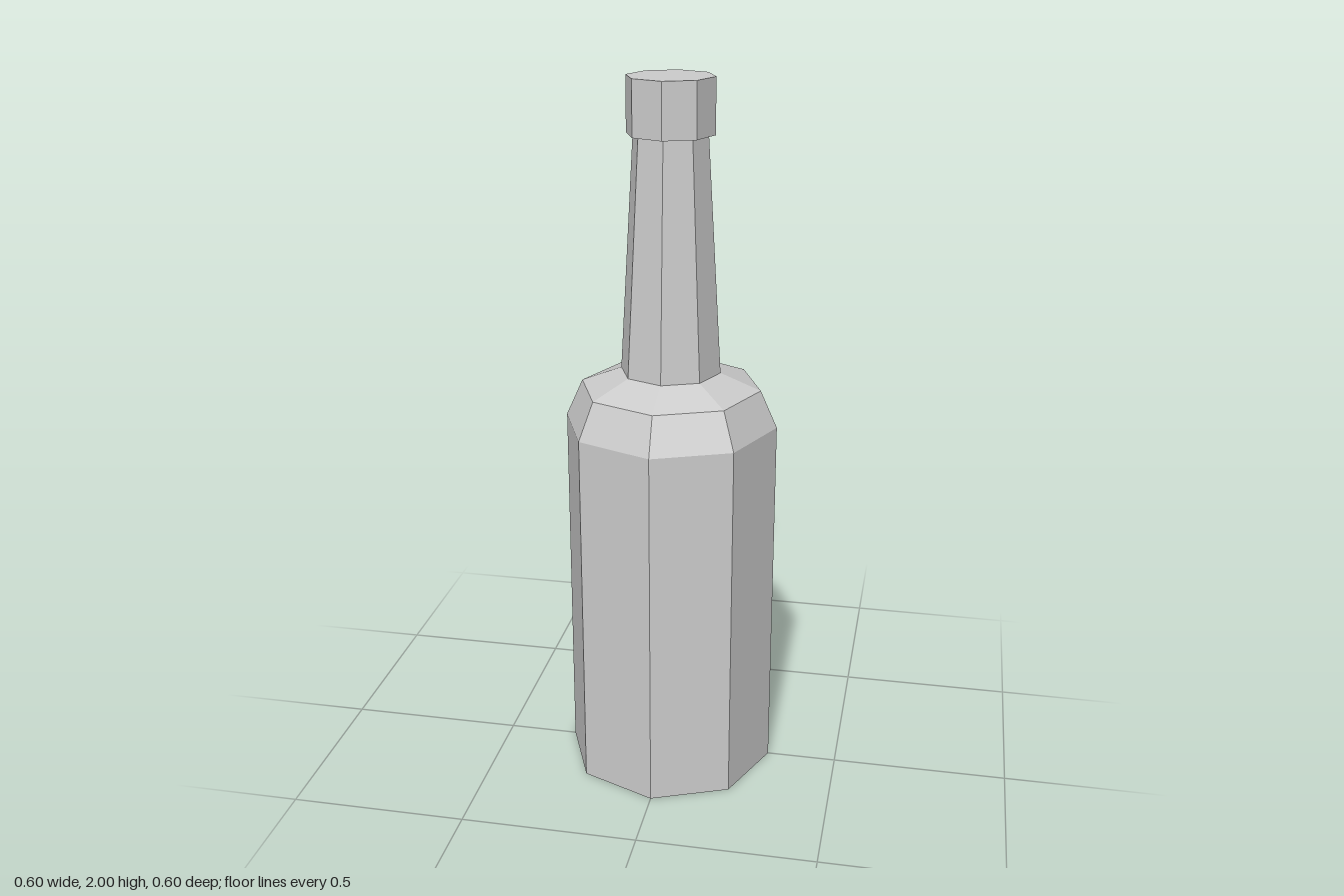
import * as THREE from 'three';

const SIDES = 8;
const material = new THREE.MeshStandardMaterial({ color: 0xcccccc, flatShading: true });

// Eight-sided faceted solid of revolution from [radius, height] pairs, bottom to top
function turned(name, profile) {
  const points = profile.map(([r, y]) => new THREE.Vector2(r, y));
  const geometry = new THREE.LatheGeometry(points, SIDES).toNonIndexed();
  geometry.computeVertexNormals();
  const mesh = new THREE.Mesh(geometry, material);
  mesh.name = name;
  return mesh;
}

export function createModel() {
  const bottle = new THREE.Group();
  bottle.name = 'bottle';

  // Closed base, straight wall and two-step shoulder
  bottle.add(turned('body', [[0, 0], [0.3, 0], [0.3, 1.05], [0.253, 1.155], [0.14, 1.2]]));

  // Tapering neck
  bottle.add(turned('neck', [[0.14, 1.2], [0.102, 1.85]]));

  // Closed cap, slightly wider than the neck
  bottle.add(turned('cap', [[0, 1.85], [0.12, 1.85], [0.12, 2], [0, 2]]));

  return bottle;
}
